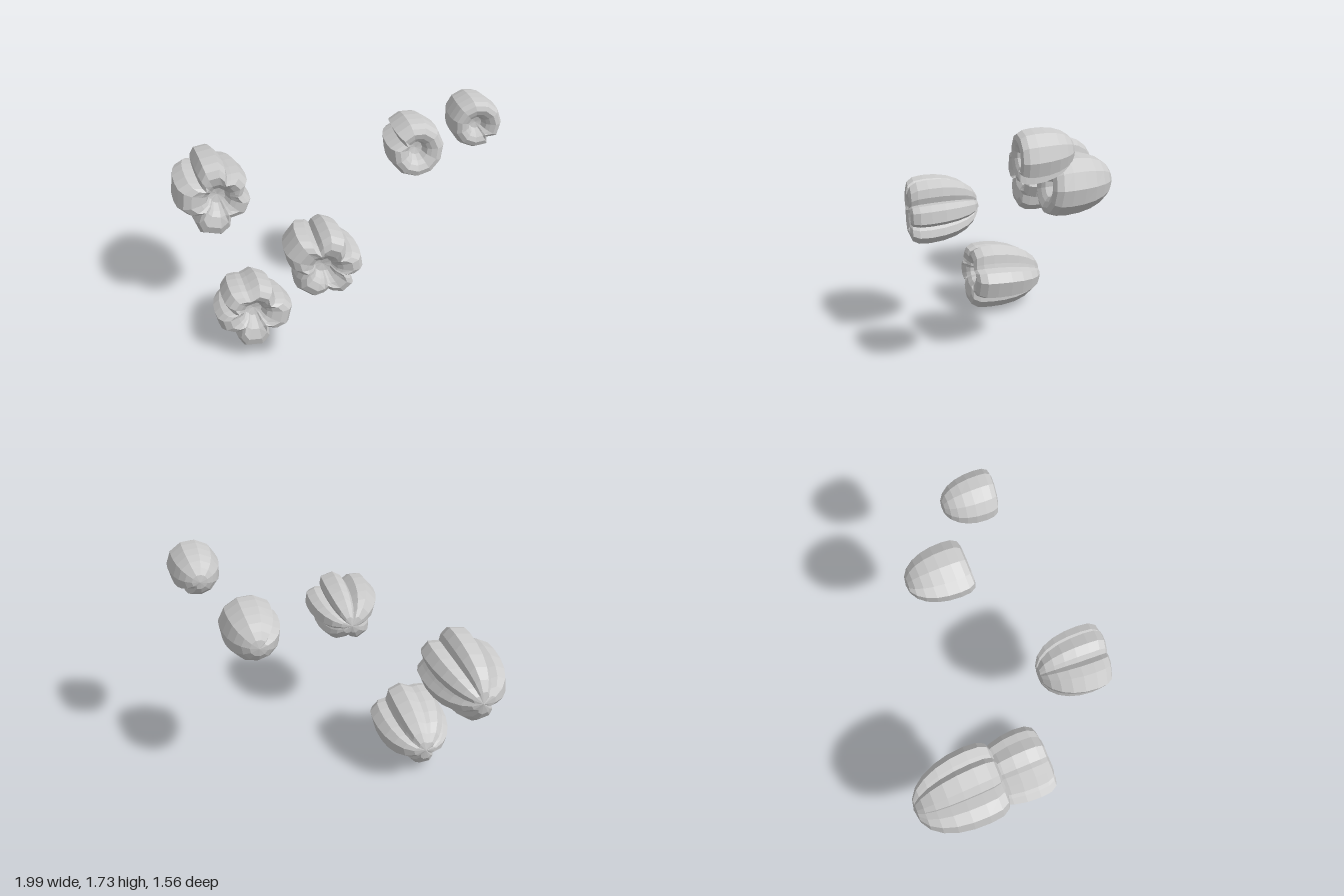
import * as THREE from 'three';

const material = new THREE.MeshStandardMaterial({ color: 0xcccccc, flatShading: true, side: THREE.DoubleSide });

// Cross-section of a lobed pod, clockwise from the front: rounded lobes of
// [angle, length] with a valley halfway to the next one.
function lobedOutline(lobes) {
  const points = [];
  const mean = lobes.reduce((sum, lobe) => sum + lobe[1], 0) / lobes.length;
  lobes.forEach(([angle, length], i) => {
    const previous = i ? lobes[i - 1][0] : lobes.at(-1)[0] + 360;
    const next = i < lobes.length - 1 ? lobes[i + 1][0] : lobes[0][0] - 360;
    const before = (previous - angle) / 2;
    const after = (next - angle) / 2;
    points.push(
      [angle + before * 0.74, length * 0.82],
      [angle + before * 0.34, length * 0.98],
      [angle + after * 0.34, length * 0.98],
      [angle + after * 0.74, length * 0.82],
      [angle + after, mean * 0.66],
    );
  });
  return points;
}

// Cross-section of a round pod: a polygon cut by one lopsided notch
function notchedOutline(radius, notch) {
  const points = [[notch, radius * 0.7]];
  for (let i = 0; i < 11; i++) points.push([notch - 10 - i * 32.7, radius]);
  return points;
}

// Lengthwise profile [scale, depth]: the hollow and lip, then a blunt dome to the back
const PROFILE = [[0, 0.2], [0.24, 0.18], [0.36, 0.07], [0.5, 0.03], [0.68, 0], [0.86, 0.03], [0.97, 0.12]];
for (let i = 0; i <= 6; i++) {
  const u = Math.sin((i / 6) * (Math.PI / 2));
  PROFILE.push([i === 6 ? 0 : (1 - u ** 2.2) ** 0.45, 0.27 + 0.73 * u]);
}

// Sweeps an outline along the profile; lean slants the front, tip shifts the back end
function makePod(name, outline, [cx, cy], [front, back], lean, tip) {
  const n = outline.length;
  const mean = outline.reduce((sum, point) => sum + point[1], 0) / n;
  const positions = [];
  const index = [];
  PROFILE.forEach(([scale, depth], i) => {
    // The hollow is rounder than the outside
    const roundness = i < 4 ? 0.65 : 0;
    outline.forEach(([angle, radius], j) => {
      const a = THREE.MathUtils.degToRad(angle);
      const r = THREE.MathUtils.lerp(radius, mean, roundness) * scale;
      const dx = Math.cos(a) * r;
      const dy = Math.sin(a) * r;
      const slant = (lean[0] * dx + lean[1] * dy) * (1 - depth);
      const bend = depth * depth;
      positions.push(cx + dx + tip[0] * bend, cy + dy + tip[1] * bend, front + (back - front) * depth + slant);

      // Skin to the next ring, leaving out collapsed triangles
      if (i === PROFILE.length - 1) return;
      const here = i * n + j;
      const beside = i * n + ((j + 1) % n);
      if (scale > 0) index.push(here, beside, here + n);
      if (PROFILE[i + 1][0] > 0) index.push(beside, beside + n, here + n);
    });
  });
  const geometry = new THREE.BufferGeometry();
  geometry.setAttribute('position', new THREE.Float32BufferAttribute(positions, 3));
  geometry.setIndex(index);
  geometry.computeVertexNormals();
  const mesh = new THREE.Mesh(geometry, material);
  mesh.name = name;
  return mesh;
}

export function createModel() {
  const group = new THREE.Group();
  group.name = 'podCluster';

  // Three deeply lobed pods
  const large = lobedOutline([[98, 0.275], [38, 0.235], [-21, 0.23], [-105, 0.295], [-187, 0.295]]);
  const forward = lobedOutline([[140, 0.255], [67, 0.235], [7, 0.245], [-43, 0.225], [-124, 0.225]]);
  const lower = lobedOutline([[64, 0.21], [-14, 0.27], [-95, 0.285], [-168, 0.26], [-212, 0.225]]);
  group.add(
    makePod('largeLobedPod', large, [-0.71, 0.935], [-0.19, -0.775], [0, -0.04], [-0.04, 0]),
    makePod('frontLobedPod', forward, [-0.24, 0.925], [0.76, 0.29], [0.15, 0], [0.02, 0.02]),
    makePod('lowerLobedPod', lower, [-0.58, 0.29], [0.235, -0.29], [0, -0.06], [0, -0.06]),
  );

  // Two round pods
  group.add(
    makePod('roundPod', notchedOutline(0.19, 147), [0.555, 1.283], [0.11, -0.315], [0, -0.12], [0, 0.01]),
    makePod('smallRoundPod', notchedOutline(0.161, -54), [0.832, 1.58], [0.4, 0.05], [0.1, 0], [0, 0.02]),
  );
  return group;
}
